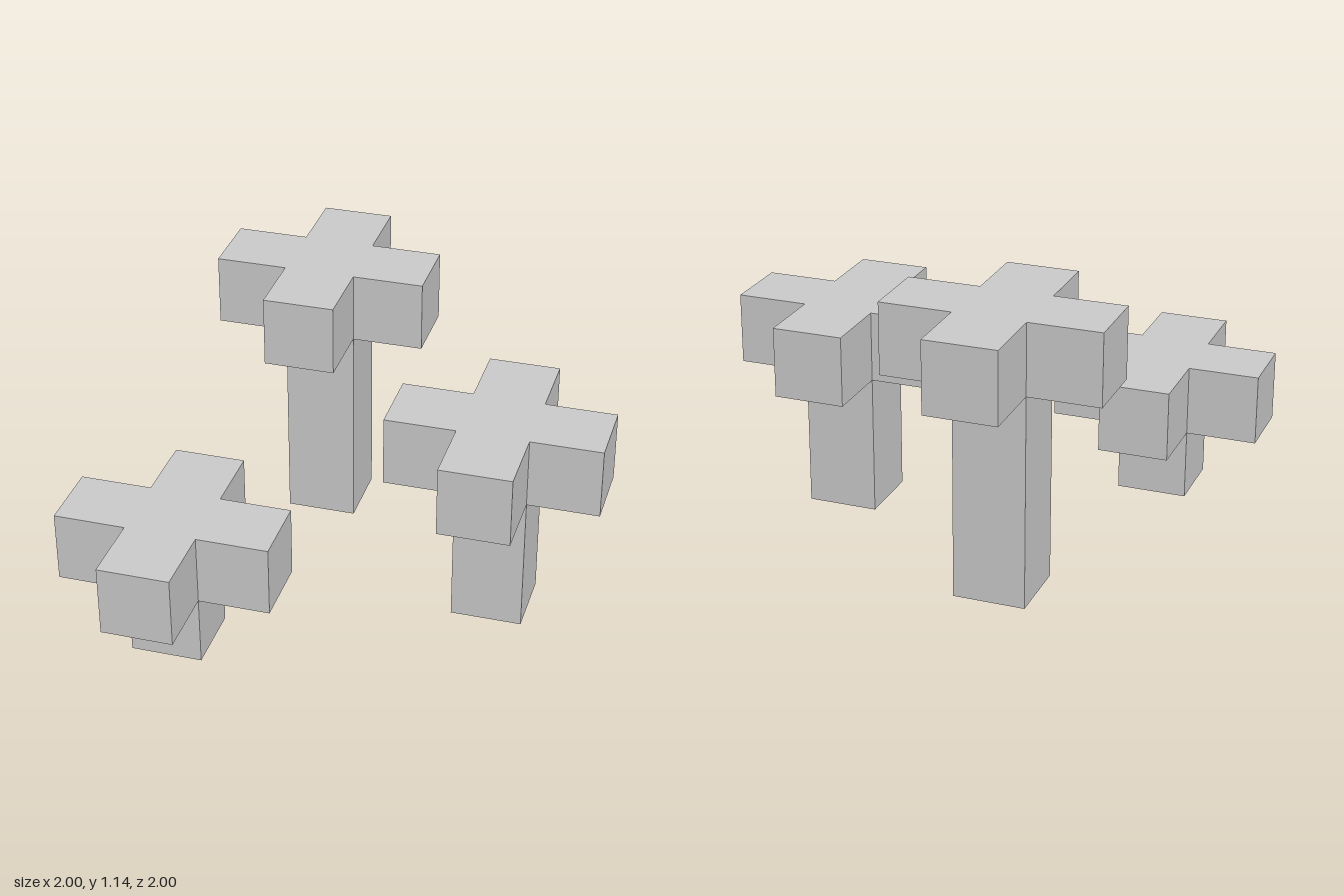
import * as THREE from 'three';

const U = 2 / 7; // one cube of the model
const material = new THREE.MeshStandardMaterial({ color: 0xcccccc, flatShading: true });

// Plus-shaped slab, one cube thick, lying flat with its underside at y = 0
function crossGeometry() {
  const a = U / 2, b = 1.5 * U;
  const outline = [
    [a, -b], [a, -a], [b, -a], [b, a], [a, a], [a, b],
    [-a, b], [-a, a], [-b, a], [-b, -a], [-a, -a], [-a, -b],
  ].map(([x, y]) => new THREE.Vector2(x, y));
  const geometry = new THREE.ExtrudeGeometry(new THREE.Shape(outline), { depth: U, bevelEnabled: false });
  return geometry.rotateX(-Math.PI / 2);
}

// Square trunk carrying a cross-shaped crown; height counts trunk cubes
function createTree(name, x, z, height) {
  const tree = new THREE.Group();
  tree.name = name;
  tree.position.set(x * U, 0, z * U);

  const trunk = new THREE.Mesh(new THREE.BoxGeometry(U, height * U, U), material);
  trunk.name = 'trunk';
  trunk.position.y = height * U / 2;

  const crown = new THREE.Mesh(crossGeometry(), material);
  crown.name = 'crown';
  crown.position.y = height * U;

  tree.add(trunk, crown);
  return tree;
}

export function createModel() {
  const model = new THREE.Group();
  model.name = 'blockTrees';
  model.add(
    createTree('shortTree', -2, 2, 1),
    createTree('mediumTree', 2, 0, 2),
    createTree('tallTree', -1, -2, 3),
  );
  return model;
}
